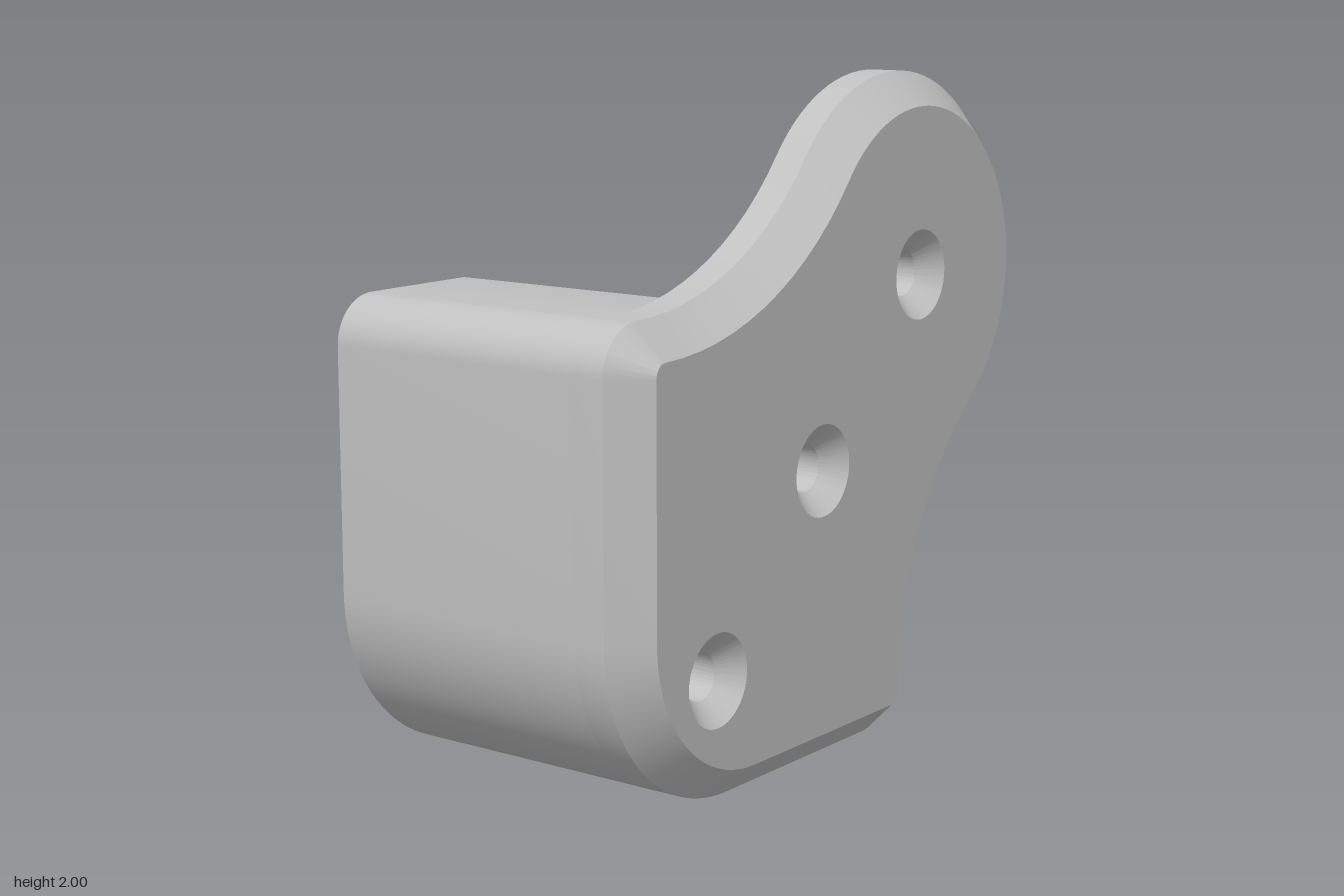
import * as THREE from 'three';
import { mergeGeometries, toCreasedNormals } from 'three/addons/utils/BufferGeometryUtils.js';

const BACK = -0.59, BLOCK_BACK = -0.46, PLATE_BACK = 0.39, BEVEL = 0.49, FRONT = 0.59;
const INSET = 0.1, CORNER = 0.14, FILLET = 0.24, EDGE = 0.04, LIP = 0.09;
const HOLE = 0.07, SINK = 0.135;
const HOLES = [[0.393, 1.4], [-0.118, 0.888], [-0.624, 0.385]];

// Points along an arc, angles in degrees
function arc(x, y, r, from, to) {
  const n = Math.max(6, Math.ceil(Math.abs(to - from) / 4));
  return Array.from({ length: n + 1 }, (_, i) => {
    const a = THREE.MathUtils.degToRad(from + (to - from) * i / n);
    return new THREE.Vector2(x + r * Math.cos(a), y + r * Math.sin(a));
  });
}

// Clockwise circle for a hole
const circle = ([x, y], r) => arc(x, y, r, 360, 0).slice(0, -1);

// Band of quads between two equal rings at different depths
function wall(ringA, zA, ringB, zB) {
  const p = [];
  ringA.forEach((a, i) => {
    const j = (i + 1) % ringA.length;
    const b = ringA[j], c = ringB[j], d = ringB[i];
    p.push(a.x, a.y, zA, b.x, b.y, zA, c.x, c.y, zB);
    p.push(a.x, a.y, zA, c.x, c.y, zB, d.x, d.y, zB);
  });
  return new THREE.BufferGeometry().setAttribute('position', new THREE.Float32BufferAttribute(p, 3));
}

// Flat face with holes, facing the front or the back
function cap(ring, z, holes, facesBack) {
  const shape = new THREE.Shape(ring);
  shape.holes = holes.map(h => new THREE.Path(h));
  const g = new THREE.ShapeGeometry(shape);
  if (facesBack) g.setIndex(Array.from(g.index.array).reverse());
  g.deleteAttribute('normal');
  g.deleteAttribute('uv');
  return g.toNonIndexed().translate(0, 0, z);
}

// Plate outline, inset by d: rounded corners, hollow flanks and a round head
function plateRing(d) {
  return [
    ...arc(0.26, 0.14, CORNER - d, -90, 0),
    ...arc(1.4076, 0.14, 1.0076 + d, 180, 128.9).slice(1),
    ...arc(0.395, 1.395, 0.605 - d, -51.1, 141.1).slice(1),
    ...arc(-0.86, 2.4076, 1.0076 + d, -38.9, -90).slice(1),
    ...arc(-0.86, 1.26, CORNER - d, 90, 180).slice(1),
    ...arc(-0.45, 0.55, 0.55 - d, 180, 270),
  ];
}

export function createModel() {
  const group = new THREE.Group();
  const grey = new THREE.MeshStandardMaterial({ color: 0xc0c0c0 });
  grey.name = 'light grey';
  const add = (name, parts) => {
    const mesh = new THREE.Mesh(toCreasedNormals(mergeGeometries(parts), 0.6), grey);
    mesh.name = name;
    group.add(mesh);
  };

  // Face plate with bevelled rim and countersunk holes
  const outer = plateRing(0), inner = plateRing(INSET);
  const bores = HOLES.map(h => circle(h, HOLE));
  const sinks = HOLES.map(h => circle(h, SINK));
  const sinkZ = FRONT - (SINK - HOLE);
  add('facePlate', [
    wall(outer, PLATE_BACK, outer, BEVEL),
    wall(outer, BEVEL, inner, FRONT),
    cap(inner, FRONT, sinks, false),
    cap(outer, PLATE_BACK, bores, true),
    ...bores.map(b => wall(b, PLATE_BACK, b, sinkZ)),
    ...bores.map((b, i) => wall(b, sinkZ, sinks[i], FRONT)),
  ]);

  // L-shaped block behind the plate, with one hole running through
  const notch = arc(-0.43 + FILLET, 0.575 + FILLET, FILLET, 270, 180);
  const block = [
    ...arc(0.26, 0.14, CORNER, -90, 0),
    ...arc(0.4 - EDGE, 0.575 - EDGE, EDGE, 0, 90),
    ...notch,
    ...arc(-0.43 - EDGE, 1.4 - EDGE, EDGE, 0, 90),
    ...arc(-0.86, 1.26, CORNER, 90, 180),
    ...arc(-0.45, 0.55, 0.55, 180, 270),
  ];
  add('cornerBlock', [
    wall(block, BLOCK_BACK, block, PLATE_BACK),
    cap(block, BLOCK_BACK, [bores[2]], true),
    wall(bores[2], BLOCK_BACK, bores[2], PLATE_BACK),
  ]);

  // Thin lip following the notch on the back of the block
  const lip = [
    new THREE.Vector2(0.29, 0.575 - LIP),
    new THREE.Vector2(0.29, 0.575),
    ...notch,
    new THREE.Vector2(-0.43, 1.295),
    new THREE.Vector2(-0.43 - LIP, 1.295),
    ...arc(-0.43 + FILLET, 0.575 + FILLET, FILLET + LIP, 180, 270),
  ];
  add('rearLip', [
    wall(lip, BACK, lip, BLOCK_BACK),
    cap(lip, BACK, [], true),
  ]);

  return group;
}
